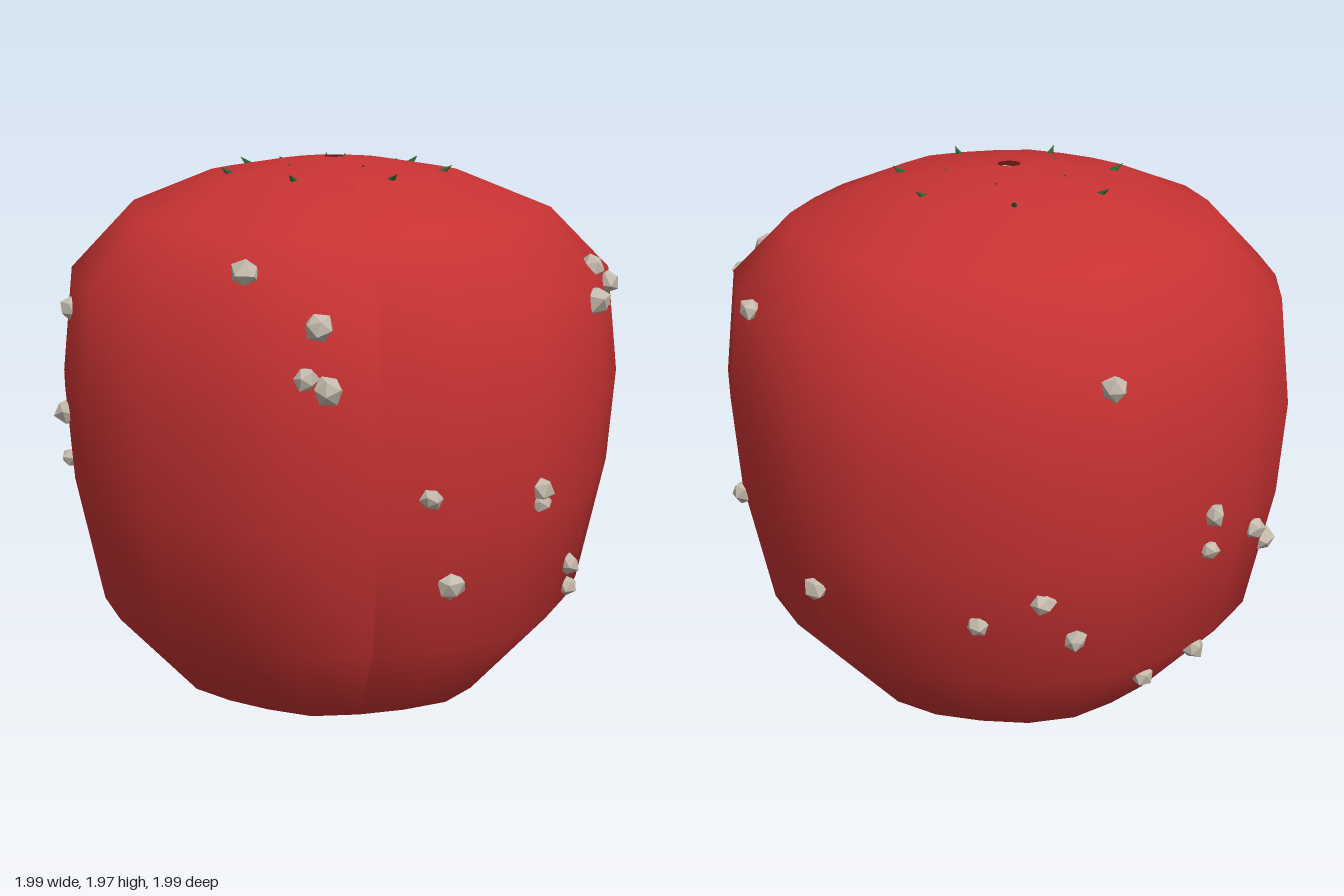
import * as THREE from 'three';

const red = new THREE.MeshStandardMaterial({ color: 0xc83232, side: THREE.DoubleSide });
red.name = 'red skin';
const stone = new THREE.MeshStandardMaterial({ color: 0xc4baac, flatShading: true });
stone.name = 'pale stone';
const green = new THREE.MeshStandardMaterial({ color: 0x2c6436, flatShading: true });
green.name = 'leaf green';

// Body profile (radius, height) and the uneven radius of each of its 22 columns
const PROFILE = [[0.06, 0], [0.58, 0.12], [0.87, 0.435], [0.965, 0.88], [0.99, 1.21],
  [0.95, 1.58], [0.745, 1.79], [0.45, 1.91], [0.2, 1.953], [0.04, 1.968]];
const WOBBLE = [0.97, 0.975, 1.01, 0.985, 0.975, 1.015, 1, 0.99, 1.01, 1.005, 0.99,
  1.01, 1.015, 0.985, 0.995, 1.01, 0.975, 0.975, 1.005, 0.97, 0.965, 0.995];

function rng(seed) {
  return () => {
    seed = (seed * 16807) % 2147483647;
    return seed / 2147483647;
  };
}

// Radius of the body at an angle (degrees from the front towards +x) and height
function surfaceRadius(deg, y) {
  const k = PROFILE.findIndex((p) => p[1] >= y);
  const [r0, y0] = PROFILE[k - 1], [r1, y1] = PROFILE[k];
  const r = r0 + (r1 - r0) * (y - y0) / (y1 - y0);
  const u = (deg / 360) * 22, i = Math.floor(u);
  return r * THREE.MathUtils.lerp(WOBBLE[i % 22], WOBBLE[(i + 1) % 22], u - i);
}

function makeBody() {
  const geo = new THREE.LatheGeometry(PROFILE.map(([r, y]) => new THREE.Vector2(r, y)), 22);
  const pos = geo.attributes.position;
  for (let i = 0; i < pos.count; i++) {
    const w = WOBBLE[Math.floor(i / PROFILE.length) % 22];
    pos.setXYZ(i, pos.getX(i) * w, pos.getY(i), pos.getZ(i) * w);
  }
  geo.computeVertexNormals();
  const body = new THREE.Mesh(geo, red);
  body.name = 'body';
  return body;
}

// Irregular faceted pebble
function makePebble(x, y, z, size, rand) {
  const geo = new THREE.IcosahedronGeometry(size, 0);
  const pos = geo.attributes.position;
  const scale = new Map();
  for (let i = 0; i < pos.count; i++) {
    const key = [pos.getX(i), pos.getY(i), pos.getZ(i)].map((v) => v.toFixed(4)).join();
    if (!scale.has(key)) scale.set(key, 0.85 + rand() * 0.3);
    const s = scale.get(key);
    pos.setXYZ(i, pos.getX(i) * s, pos.getY(i) * s, pos.getZ(i) * s);
  }
  geo.computeVertexNormals();
  const pebble = new THREE.Mesh(geo, stone);
  pebble.position.set(x, y, z);
  pebble.rotation.set(rand() * 6, rand() * 6, rand() * 6);
  pebble.name = 'pebble';
  return pebble;
}

// Leaf tip poking out of the top, leaning outwards
function makeLeafTip(x, z, y, length, width) {
  const holder = new THREE.Group();
  const tip = new THREE.Mesh(new THREE.ConeGeometry(width, length, 5), green);
  tip.rotation.x = 0.95;
  holder.add(tip);
  holder.position.set(x, y, z);
  holder.rotation.y = Math.atan2(x, z);
  holder.name = 'leafTip';
  return holder;
}

export function createModel() {
  const model = new THREE.Group();
  model.name = 'studdedFruit';
  model.add(makeBody());

  // Pebbles around the body: angle, height, size
  const rand = rng(77);
  const deg = (x, z) => (THREE.MathUtils.radToDeg(Math.atan2(x, z)) + 360) % 360;
  const pebbles = [
    // front
    [deg(-0.39, 0.73), 1.68, 0.05], [deg(-0.19, 0.94), 1.54, 0.048],
    [deg(-0.23, 0.94), 1.38, 0.043], [deg(-0.16, 0.96), 1.345, 0.05],
    [deg(0.17, 0.94), 0.98, 0.035], [deg(0.57, 0.82), 0.965, 0.043],
    [deg(0.57, 0.82), 0.92, 0.037], [deg(0.25, 0.86), 0.67, 0.05],
    // +x side
    [deg(0.74, 0.48), 0.6, 0.043], [deg(0.75, 0.41), 0.5, 0.037],
    [deg(0.83, 0.44), 1.515, 0.052], [deg(0.83, 0.32), 1.615, 0.043],
    [deg(0.84, 0.36), 1.505, 0.036], [deg(0.89, 0.24), 1.545, 0.046],
    [deg(0.87, -0.3), 1.58, 0.04], [deg(0.95, -0.13), 0.85, 0.043],
    [deg(0.71, -0.6), 0.695, 0.043],
    // back
    [167, 0.67, 0.036], [180, 0.77, 0.04], [187, 0.61, 0.038], [193, 1.49, 0.044],
    [218, 0.965, 0.04], [218, 0.83, 0.036], [235, 0.81, 0.038], [246, 0.69, 0.044],
    [210, 0.33, 0.04], [224, 0.39, 0.043],
    // -x side
    [278, 1.12, 0.046], [278, 1.48, 0.04], [267, 0.91, 0.036],
  ];
  for (const [a, y, size] of pebbles) {
    const r = surfaceRadius(a, y), t = THREE.MathUtils.degToRad(a);
    model.add(makePebble(r * Math.sin(t), y, r * Math.cos(t), size, rand));
  }
  // Pebble sunk in the top hole
  model.add(makePebble(0.012, 1.93, 0, 0.036, rand));

  // Outer ring of seven leaf tips, inner ring of five
  for (let i = 0; i < 7; i++) {
    const t = THREE.MathUtils.degToRad(4 + (i * 360) / 7);
    model.add(makeLeafTip(0.385 * Math.sin(t), -0.385 * Math.cos(t), 1.925, 0.06, 0.018));
  }
  for (let i = 0; i < 5; i++) {
    const t = THREE.MathUtils.degToRad(18 + i * 72);
    model.add(makeLeafTip(0.21 * Math.sin(t), -0.21 * Math.cos(t), 1.948, 0.03, 0.01));
  }
  return model;
}
